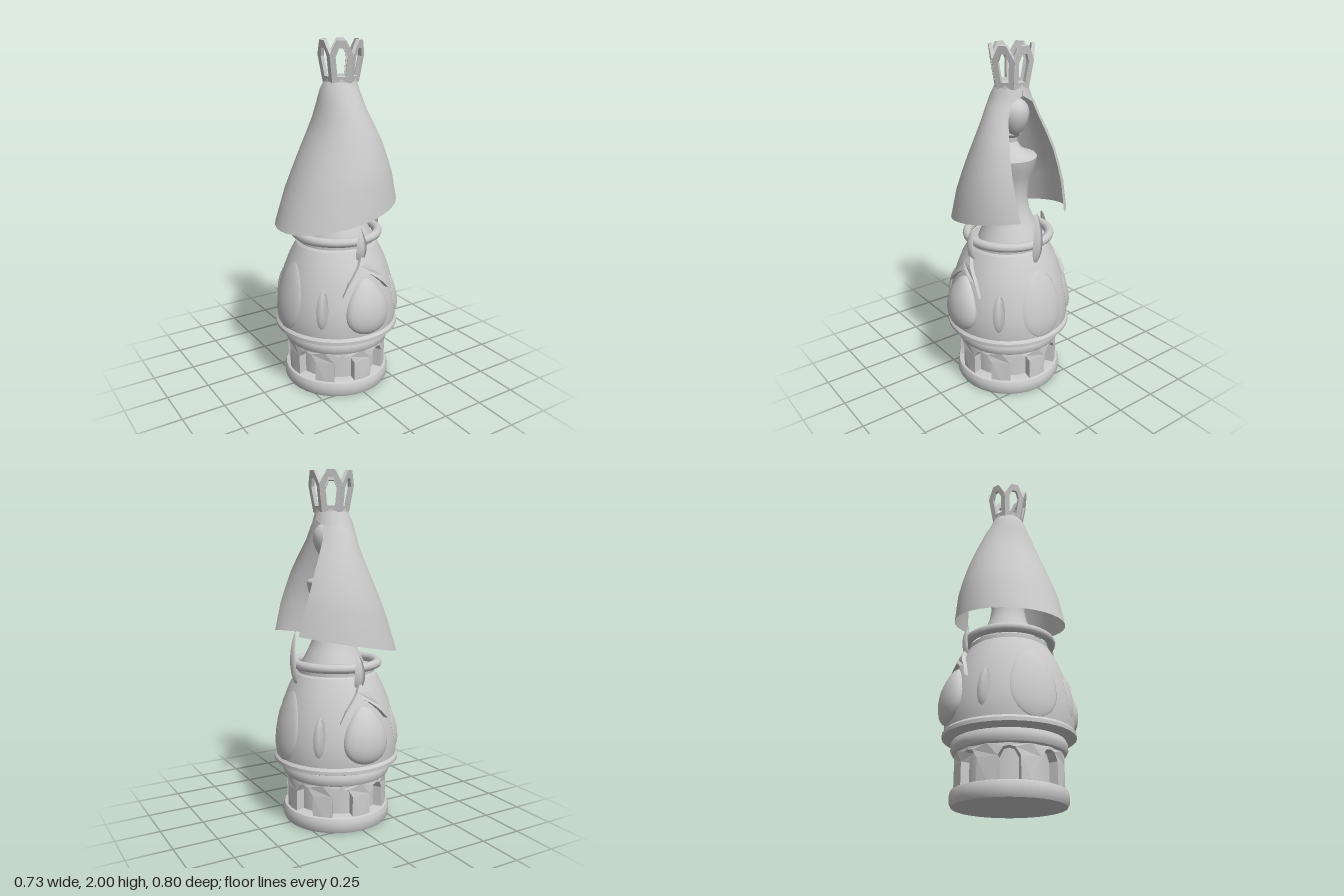
import * as THREE from 'three';
import { toCreasedNormals } from 'three/addons/utils/BufferGeometryUtils.js';

const V2 = (pts) => pts.map(([x, y]) => new THREE.Vector2(x, y));
const mat = new THREE.MeshStandardMaterial({ color: 0xcccccc });
const thin = new THREE.MeshStandardMaterial({ color: 0xcccccc, side: THREE.DoubleSide });

// Belly profile as [radius, height]
const BELLY = [[0.3, 0.345], [0.345, 0.352], [0.365, 0.36], [0.365, 0.38], [0.352, 0.395], [0.357, 0.45],
  [0.352, 0.52], [0.338, 0.6], [0.31, 0.7], [0.275, 0.79], [0.235, 0.865], [0.2, 0.872]];

// Belly radius at a height
function bellyRadius(y) {
  for (let i = 5; i < BELLY.length; i++) {
    const [r0, y0] = BELLY[i - 1], [r1, y1] = BELLY[i];
    if (y <= y1) return THREE.MathUtils.lerp(r0, r1, Math.max(0, (y - y0) / (y1 - y0)));
  }
  return 0.22;
}

// Bends a geometry round the y axis: x becomes arc length, z becomes radial offset
function wrap(geo, angle, arcRadius, radiusAt) {
  const p = geo.attributes.position;
  for (let i = 0; i < p.count; i++) {
    const a = angle + p.getX(i) / arcRadius;
    const r = radiusAt(p.getY(i)) + p.getZ(i);
    p.setXYZ(i, r * Math.sin(a), p.getY(i), r * Math.cos(a));
  }
  geo.computeVertexNormals();
  return geo;
}

export function createModel() {
  const model = new THREE.Group();
  const add = (name, geo, parent = model, material = mat) => {
    const mesh = new THREE.Mesh(geo, material);
    mesh.name = name;
    parent.add(mesh);
    return mesh;
  };
  const lathe = (name, pts, segments = 32) =>
    add(name, toCreasedNormals(new THREE.LatheGeometry(V2(pts), segments), 0.6));

  // Round foot, recessed drum and upper moulding
  lathe('base', [[0, 0], [0.305, 0], [0.315, 0.02], [0.316, 0.06], [0.307, 0.082], [0.29, 0.088],
    [0.245, 0.09], [0.245, 0.265], [0.29, 0.268], [0.307, 0.275], [0.317, 0.295], [0.317, 0.32],
    [0.307, 0.343], [0.28, 0.35]]);

  // Arcade of pillars spreading into pointed arches
  const half = 0.295 * Math.PI / 8;
  for (let i = 0; i < 8; i++) {
    const side = [[0.057, 0.085], [0.057, 0.205], [0.085, 0.248], [half, 0.255], [half, 0.272]];
    const mirrored = side.map(([x, y]) => [-x, y]).reverse();
    const shape = new THREE.Shape(V2([[0, 0.085], ...side, [0, 0.272], ...mirrored]));
    const geo = new THREE.ExtrudeGeometry(shape, { depth: 0.055, bevelEnabled: false });
    add('arcadePillar', wrap(geo, i * Math.PI / 4, 0.295, () => 0.24));
  }

  // Belly with flared lip
  lathe('belly', BELLY, 40);

  // Bulging bosses on the belly
  const boss = (name, angle, y, w, h, bulge, egg, ws, hs) => {
    const geo = new THREE.SphereGeometry(1, ws, hs);
    const p = geo.attributes.position;
    for (let i = 0; i < p.count; i++) {
      const Y = p.getY(i);
      p.setXYZ(i, p.getX(i) * w * (1 - egg * Y), y + h * Y, p.getZ(i) * bulge);
    }
    add(name, wrap(geo, angle, 0.35, bellyRadius));
  };
  for (const a of [0, Math.PI]) {
    boss('bulgingGem', a, 0.565, 0.135, 0.158, 0.05, 0.25, 20, 14);
    // Raised brow over each gem
    const side = [[0.035, 0.8], [0.075, 0.755], [0.115, 0.71], [0.15, 0.64], [0.11, 0.685], [0.07, 0.72], [0.035, 0.745]];
    const brow = new THREE.Shape(V2([[0, 0.85], ...side, [0, 0.76],
      ...side.map(([x, y]) => [-x, y]).reverse()]));
    const geo = new THREE.ExtrudeGeometry(brow, { depth: 0.05, bevelEnabled: false });
    geo.translate(0, 0, -0.025);
    add('brow', wrap(geo, a, 0.33, bellyRadius));
  }
  for (const s of [1, -1]) boss('ovalPanel', s * Math.PI / 2, 0.585, 0.135, 0.195, 0.012, 0.1, 20, 14);
  for (let i = 0; i < 4; i++) {
    boss('diamondStud', Math.PI / 4 + i * Math.PI / 2, 0.56, 0.036, 0.11, 0.02, 0, 4, 6);
  }

  // Upright leaves: one tall at the opening, two shorter at the sides
  const leaf = (angle, y0, y1, r) => {
    const geo = new THREE.SphereGeometry(1, 4, 10);
    const p = geo.attributes.position;
    for (let i = 0; i < p.count; i++) {
      const Y = p.getY(i);
      const k = 1 - 0.35 * Y;
      p.setXYZ(i, p.getX(i) * 0.033 * k, (y0 + y1) / 2 + Y * (y1 - y0) / 2,
        p.getZ(i) * 0.016 * k - 0.02 * Y * Y);
    }
    add('leaf', wrap(geo, angle, r, () => r));
  };
  leaf(0, 0.8, 1.0, 0.268);
  leaf(Math.PI, 0.8, 1.0, 0.268);
  leaf(Math.PI / 2, 0.82, 1.12, 0.28);

  // Collar and ring
  lathe('collar', [[0.235, 0.862], [0.222, 0.875], [0.222, 0.9], [0.2, 0.91], [0, 0.91]]);
  const ring = add('collarRing', new THREE.TorusGeometry(0.24, 0.026, 10, 36));
  ring.rotation.x = Math.PI / 2;
  ring.position.y = 0.925;

  // Slender figure under the cape
  const figure = lathe('figureBody', [[0.19, 0.9], [0.175, 0.94], [0.145, 1.0], [0.11, 1.08], [0.098, 1.15],
    [0.102, 1.22], [0.118, 1.29], [0.14, 1.34], [0.15, 1.39], [0.143, 1.4], [0.1, 1.412], [0.06, 1.44],
    [0.038, 1.475], [0.04, 1.5], [0.06, 1.52], [0.055, 1.535], [0, 1.535]]);
  figure.position.x = 0.02;
  const headGeo = new THREE.SphereGeometry(1, 20, 14);
  const hp = headGeo.attributes.position;
  for (let i = 0; i < hp.count; i++) {
    const Y = hp.getY(i), k = 0.08 * (1 + 0.25 * Y);
    hp.setXYZ(i, hp.getX(i) * k, Y * 0.105, hp.getZ(i) * k);
  }
  headGeo.computeVertexNormals();
  add('head', headGeo).position.set(0.055, 1.615, 0);

  // Open cape: rows of [yBack, yOpen, xBack, xOpen, zHalf, openingHalf]
  const rows = [
    [1.78, 1.78, -0.065, 0.12, 0.092, 0], [1.735, 1.74, -0.088, 0.13, 0.11, 0.002],
    [1.67, 1.705, -0.102, 0.14, 0.135, 0.07], [1.58, 1.63, -0.122, 0.165, 0.172, 0.1],
    [1.49, 1.54, -0.158, 0.215, 0.21, 0.125], [1.4, 1.45, -0.2, 0.262, 0.243, 0.145],
    [1.285, 1.36, -0.25, 0.295, 0.273, 0.155], [1.17, 1.27, -0.298, 0.325, 0.298, 0.158],
    [0.98, 1.12, -0.365, 0.36, 0.315, 0.15]];
  const cols = 28, pos = [], idx = [];
  rows.forEach(([yb, yo, xb, xo, zh, w], j) => {
    const a0 = Math.asin(w / zh);
    for (let i = 0; i <= cols; i++) {
      const a = a0 + (2 * Math.PI - 2 * a0) * i / cols;
      const t = (1 + Math.cos(a)) / 2;
      pos.push((xb + xo) / 2 + (xo - xb) / 2 * Math.cos(a), yb + (yo - yb) * t, zh * Math.sin(a));
      if (j && i < cols) {
        const n = j * (cols + 1) + i, m = n - cols - 1;
        idx.push(m, m + 1, n, m + 1, n + 1, n);
      }
    }
  });
  const cape = new THREE.BufferGeometry();
  cape.setAttribute('position', new THREE.Float32BufferAttribute(pos, 3));
  cape.setIndex(idx);
  cape.computeVertexNormals();
  add('cape', cape, model, thin);

  // Crown: six outward-leaning pierced panels on a small floor
  const crown = new THREE.Group();
  crown.name = 'crown';
  crown.position.set(0.03, 1.775, 0);
  model.add(crown);
  add('crownFloor', new THREE.CylinderGeometry(0.09, 0.093, 0.025, 12), crown).position.y = 0.01;
  for (let i = 0; i < 6; i++) {
    const panel = new THREE.Shape(V2([[-0.05, 0], [0.05, 0], [0.064, 0.15], [0.022, 0.228], [-0.022, 0.228], [-0.064, 0.15]]));
    panel.holes.push(new THREE.Path(V2([[-0.022, 0.035], [-0.032, 0.14], [-0.014, 0.185], [0.014, 0.185], [0.032, 0.14], [0.022, 0.035]])));
    const geo = new THREE.ExtrudeGeometry(panel, { depth: 0.02, bevelEnabled: false });
    geo.translate(0, 0, -0.02);
    geo.rotateX(0.16);
    geo.translate(0, 0, 0.086);
    geo.rotateY(Math.PI / 2 + i * Math.PI / 3);
    add('crownPanel', geo, crown);
  }
  return model;
}
